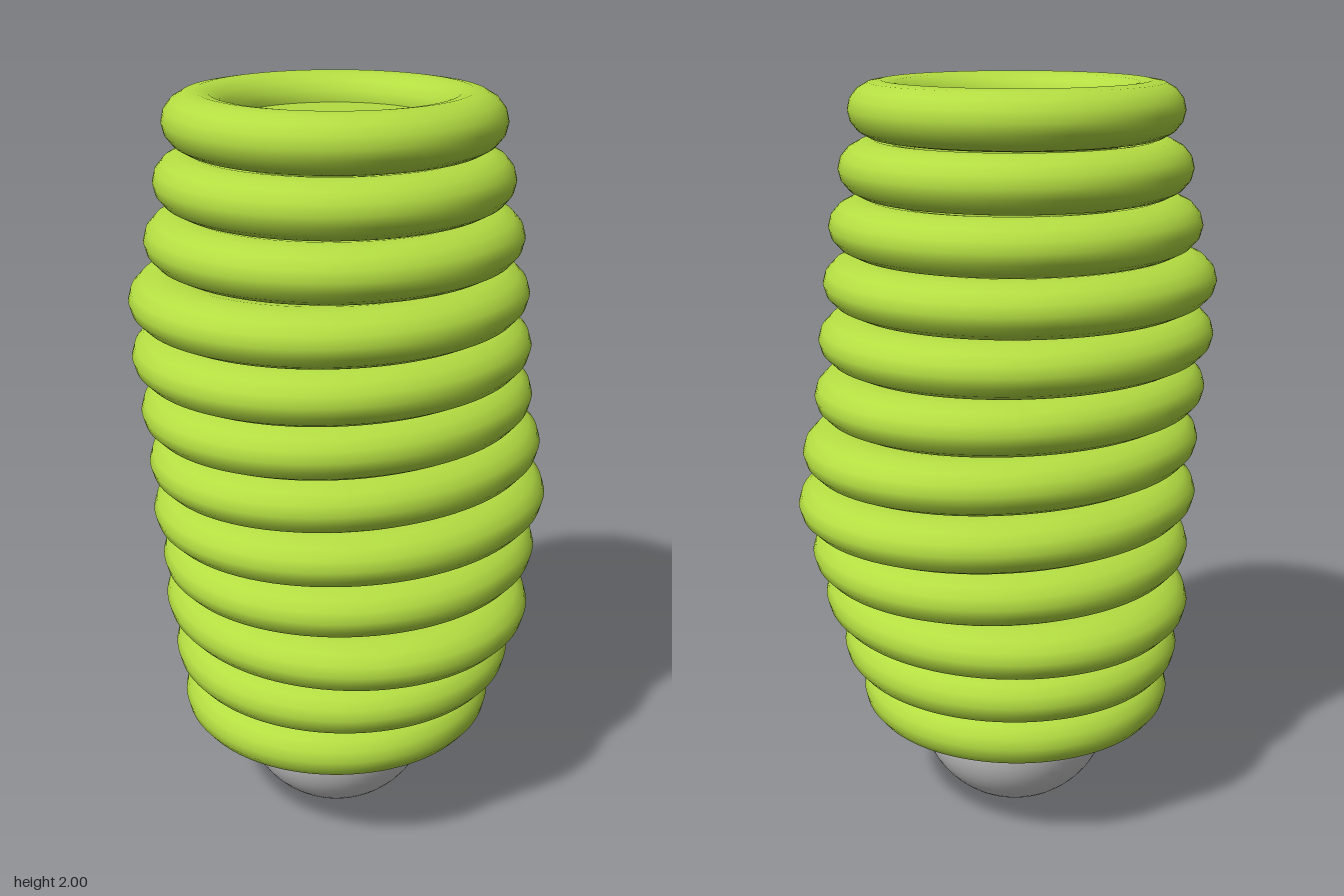
import * as THREE from 'three';

// Each ring, top to bottom: [left edge x, right edge x, half depth z]
const RINGS = [
  [-0.46, 0.39, 0.427], [-0.49, 0.42, 0.446], [-0.52, 0.45, 0.47],
  [-0.57, 0.47, 0.49], [-0.57, 0.49, 0.485], [-0.555, 0.51, 0.47],
  [-0.54, 0.55, 0.47], [-0.53, 0.565, 0.49], [-0.505, 0.527, 0.488],
  [-0.49, 0.485, 0.517], [-0.475, 0.44, 0.47], [-0.46, 0.39, 0.427],
];
const AXIS_X = -0.034;
const BOTTOM = 0.275;
const STEP = (2 - BOTTOM) / RINGS.length;

export function createModel() {
  const model = new THREE.Group();
  const green = new THREE.MeshStandardMaterial({ color: 0xb4dd42 });
  const grey = new THREE.MeshStandardMaterial({ color: 0xcccccc });

  function add(name, geometry, material, x, y) {
    const mesh = new THREE.Mesh(geometry, material);
    mesh.name = name;
    mesh.position.set(x, y, 0);
    model.add(mesh);
    return mesh;
  }

  // Stack of slightly flattened, oval rings
  const major = 0.342, tube = 0.085, outer = major + tube;
  const ringGeometry = new THREE.TorusGeometry(major, tube, 16, 96).rotateX(Math.PI / 2);
  const stack = new THREE.Group();
  stack.name = 'ringStack';
  model.add(stack);
  RINGS.forEach(([left, right, depth], i) => {
    const ring = add(`ring${i + 1}`, ringGeometry, green, (left + right) / 2, 2 - STEP * (i + 0.5));
    ring.scale.set((right - left) / 2 / outer, STEP / 2 / tube, depth / outer);
    stack.add(ring);
  });

  // Core closing the hole at the middle of the top ring
  const coreTop = 2 - STEP / 2, coreBottom = BOTTOM + STEP / 2;
  add('core', new THREE.CylinderGeometry(0.258, 0.258, coreTop - coreBottom, 96),
    green, AXIS_X, (coreTop + coreBottom) / 2);

  // Ball at the foot
  add('footBall', new THREE.SphereGeometry(0.27, 48, 32), grey, AXIS_X, 0.27);

  return model;
}
